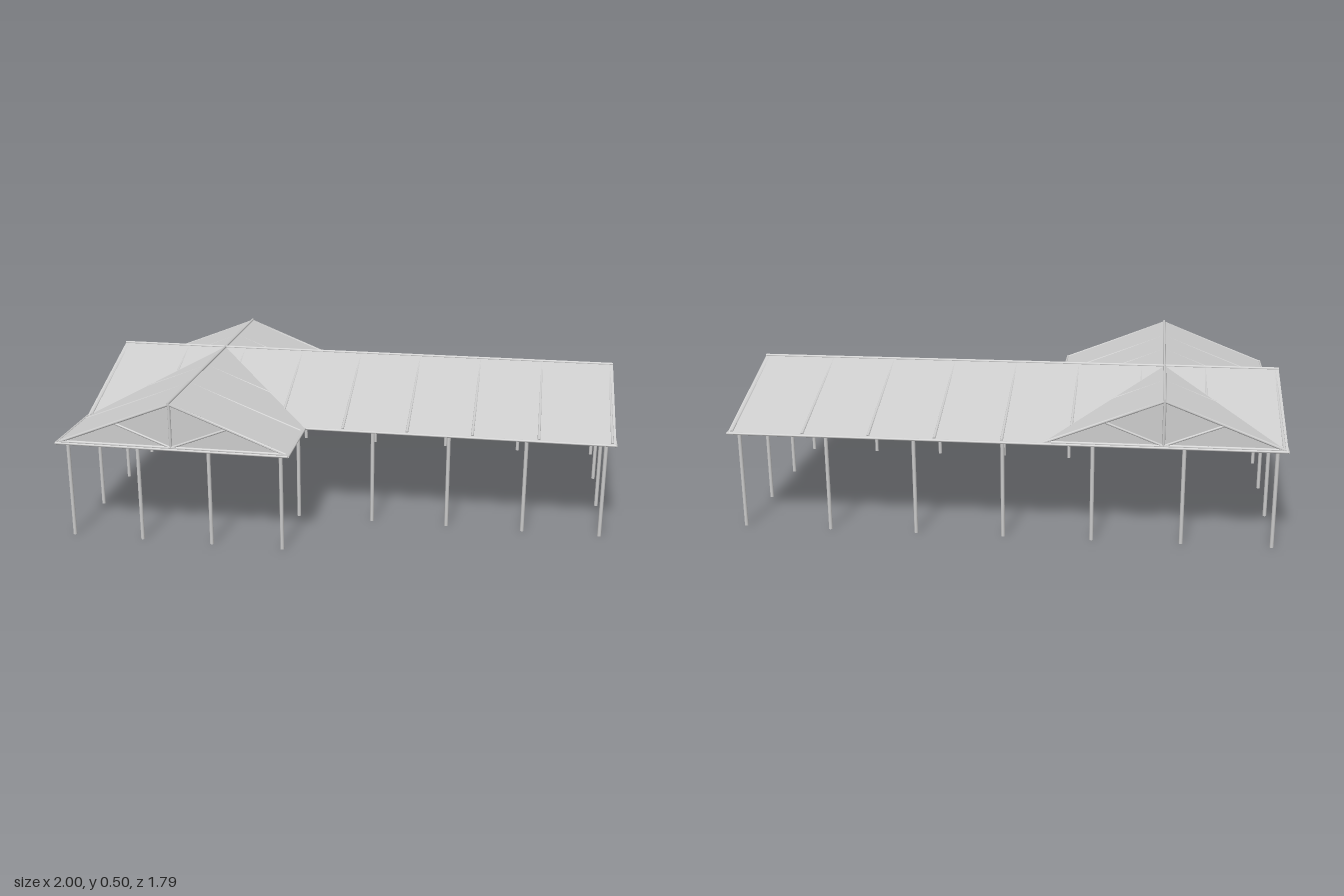
import * as THREE from 'three';

const EAVE = 0.335, RIDGE = 0.49;
// Plan of the L-shaped shelter, local axes: x along the main ridge, z along the cross ridge, crossing at 0,0
const MAIN = { half: 0.427, from: -0.388, to: 1.418 };
const CROSS = { half: 0.388, from: -0.427, to: 0.703 };
const INSET = 0.03;

const grey = new THREE.MeshStandardMaterial({ color: 0xcccccc });
const sheet = new THREE.MeshStandardMaterial({ color: 0xcccccc, side: THREE.DoubleSide, flatShading: true });
const V = (x, y, z) => new THREE.Vector3(x, y, z);

// Round bar between two points
function bar(parent, name, a, b, r = 0.005) {
  const dir = b.clone().sub(a);
  const m = new THREE.Mesh(new THREE.CylinderGeometry(r, r, dir.length(), 8), grey);
  m.position.copy(a).add(b).multiplyScalar(0.5);
  m.quaternion.setFromUnitVectors(V(0, 1, 0), dir.normalize());
  m.name = name;
  parent.add(m);
}

// Flat convex sheet through the given corners
function panel(parent, name, pts) {
  const idx = [];
  for (let i = 1; i < pts.length - 1; i++) idx.push(0, i, i + 1);
  const g = new THREE.BufferGeometry().setFromPoints(pts);
  g.setIndex(idx);
  g.computeVertexNormals();
  const m = new THREE.Mesh(g, sheet);
  m.name = name;
  parent.add(m);
}

// King-post truss; at(s, y) maps the span coordinate to a point
function truss(parent, name, at, half) {
  const g = new THREE.Group();
  g.name = name;
  const low = EAVE + 0.003, top = RIDGE - 0.005;
  bar(g, 'tieBeam', at(-half, low), at(half, low));
  bar(g, 'kingPost', at(0, low), at(0, top));
  for (const s of [-1, 1]) {
    bar(g, 'rafter', at(s * half, low), at(0, top));
    bar(g, 'strut', at(0, low), at(s * half / 2, (low + top) / 2), 0.004);
  }
  parent.add(g);
}

// One gabled wing: ridge bar, trusses and the two gable ends
function wing(parent, name, { half, from, to }, bays, place) {
  const g = new THREE.Group();
  g.name = name;
  bar(g, 'ridgeBar', place(from, RIDGE, 0), place(to, RIDGE, 0));
  for (let i = 0; i <= bays; i++) {
    const end = i === 0 || i === bays;
    const d = end ? 0.012 : INSET;
    const t = THREE.MathUtils.lerp(from + d, to - d, i / bays);
    truss(g, end ? 'gableTruss' : 'roofTruss', (s, y) => place(t, y, s), half - 0.01);
    if (end) {
      panel(g, 'gablePanel', [place(t, EAVE, -half), place(t, EAVE, half), place(t, RIDGE, 0)]);
    }
  }
  parent.add(g);
}

export function createModel() {
  const model = new THREE.Group();
  model.name = 'openShelter';
  const plan = new THREE.Group();
  plan.name = 'shelter';
  plan.rotation.y = THREE.MathUtils.degToRad(24.8);
  plan.position.set(-0.475, 0, 0.085);
  model.add(plan);

  // Roof slopes, cut along the valleys that run from the crossing to the corners
  const roof = new THREE.Group();
  roof.name = 'roof';
  const peak = V(0, RIDGE, 0);
  for (const e of [-1, 1]) {
    for (const s of [-1, 1]) {
      const valley = V(e * CROSS.half, EAVE, s * MAIN.half);
      const ux = e > 0 ? MAIN.to : MAIN.from;
      const vz = s > 0 ? CROSS.to : CROSS.from;
      panel(roof, 'mainSlope', e > 0
        ? [peak, V(ux, RIDGE, 0), V(ux, EAVE, s * MAIN.half), valley]
        : [peak, V(ux, RIDGE, 0), valley]);
      panel(roof, 'crossSlope', s > 0
        ? [peak, V(0, RIDGE, vz), V(e * CROSS.half, EAVE, vz), valley]
        : [peak, V(0, RIDGE, vz), valley]);
    }
  }
  plan.add(roof);

  // Ridges, trusses and gables of both wings
  wing(plan, 'mainWing', MAIN, 8, (t, y, s) => V(t, y, s));
  wing(plan, 'crossWing', CROSS, 5, (t, y, s) => V(s, y, t));

  // Posts and the eave beams over them, walking round the outline
  const w = MAIN.from + INSET, e = MAIN.to - INSET, c = CROSS.half - INSET;
  const n = CROSS.from + INSET, s = MAIN.half - INSET, f = CROSS.to - INSET;
  const outline = [
    [w, n, 6], [e, n, 3], [e, s, 4], [c, s, 1], [c, f, 3], [w, f, 4],
  ];
  const frame = new THREE.Group();
  frame.name = 'postFrame';
  outline.forEach(([x, z, bays], i) => {
    const [x2, z2] = outline[(i + 1) % outline.length];
    for (let k = 0; k < bays; k++) {
      const px = THREE.MathUtils.lerp(x, x2, k / bays), pz = THREE.MathUtils.lerp(z, z2, k / bays);
      bar(frame, 'post', V(px, 0, pz), V(px, EAVE + 0.003, pz), 0.0065);
    }
    bar(frame, 'eaveBeam', V(x, EAVE, z), V(x2, EAVE, z2), 0.006);
  });
  // Edge rails under the roof rim
  const rim = [
    [MAIN.from, CROSS.from], [MAIN.to, CROSS.from], [MAIN.to, MAIN.half],
    [CROSS.half, MAIN.half], [CROSS.half, CROSS.to], [MAIN.from, CROSS.to],
  ];
  rim.forEach(([x, z], i) => {
    const [x2, z2] = rim[(i + 1) % rim.length];
    bar(frame, 'edgeRail', V(x, EAVE, z), V(x2, EAVE, z2), 0.004);
  });
  plan.add(frame);
  return model;
}
